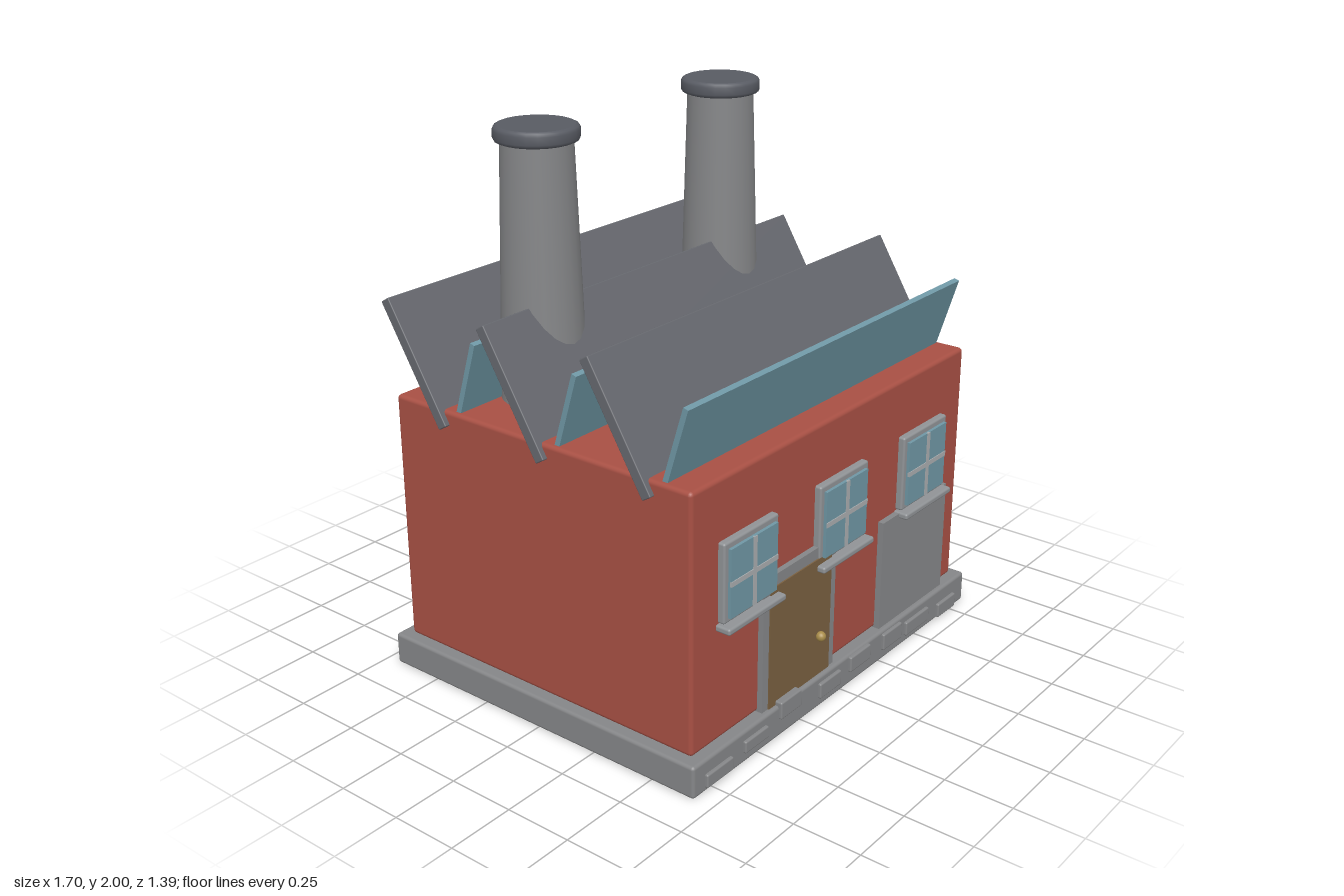
import * as THREE from 'three';
import { RoundedBoxGeometry } from 'three/addons/geometries/RoundedBoxGeometry.js';

const mat = (color) => new THREE.MeshStandardMaterial({ color });
const BRICK = mat(0xa85044), STONE = mat(0x858688), ROOF = mat(0x66686e), GLASS = mat(0x6f97a5);
const CAP = mat(0x585b63), TRIM = mat(0x909396), WOOD = mat(0x7a6040), BRASS = mat(0xa88c4a), BAR = mat(0xa9acae);

function add(parent, name, geometry, material, x, y, z) {
  const mesh = new THREE.Mesh(geometry, material);
  mesh.name = name;
  mesh.position.set(x, y, z);
  parent.add(mesh);
  return mesh;
}

// box given by its size and centre, with optional rounded edges
function box(parent, name, material, [w, h, d], [x, y, z], radius = 0) {
  const g = radius ? new RoundedBoxGeometry(w, h, d, 2, radius) : new THREE.BoxGeometry(w, h, d);
  return add(parent, name, g, material, x, y, z);
}

function group(parent, name) {
  const g = new THREE.Group();
  g.name = name;
  parent.add(g);
  return g;
}

export function createModel() {
  const model = new THREE.Group();
  model.name = 'factory';

  // plinth and brick block
  box(model, 'plinth', STONE, [1.7, 0.12, 1.38], [0, 0.06, -0.01], 0.012);
  box(model, 'brickBody', BRICK, [1.62, 0.935, 1.295], [0, 0.588, -0.008], 0.015);

  // loose stones set in the front of the plinth: x, y, width, height
  const stones = [
    [-0.72, 0.042, 0.14, 0.05], [-0.52, 0.063, 0.13, 0.045], [-0.325, 0.103, 0.12, 0.065],
    [-0.085, 0.066, 0.13, 0.058], [0.105, 0.083, 0.13, 0.06], [0.32, 0.075, 0.125, 0.065],
    [0.495, 0.06, 0.16, 0.055], [0.71, 0.036, 0.125, 0.056],
  ];
  for (const [x, y, w, h] of stones) box(model, 'plinthStone', STONE, [w, h, 0.04], [x, y, 0.672], 0.006);

  // sawtooth roof: a slab leaning back and a skylight leaning forward, three times
  for (let i = 0; i < 3; i++) {
    const z = -0.446 * i;
    const tooth = group(model, 'roofTooth');
    box(tooth, 'roofSlab', ROOF, [1.66, 0.475, 0.04], [0, 1.2, 0.355 + z], 0.004).rotation.x = -0.548;
    box(tooth, 'skylight', GLASS, [1.585, 0.3, 0.02], [0, 1.173, 0.56 + z]).rotation.x = 0.3;
  }

  // tapered chimneys with rounded caps
  const capProfile = [[0, 0], [0.13, 0], [0.14, 0.004], [0.145, 0.014], [0.145, 0.04], [0.14, 0.05], [0.13, 0.055], [0.13, 0.055], [0, 0.055]]
    .map(([r, y]) => new THREE.Vector2(r, y));
  for (const side of [-1, 1]) {
    const chimney = group(model, 'chimney');
    chimney.position.set(0.49 * side, 0, -0.255);
    add(chimney, 'chimneyStack', new THREE.CylinderGeometry(0.122, 0.152, 0.95, 24), STONE, 0, 1.475, 0);
    add(chimney, 'chimneyCap', new THREE.LatheGeometry(capProfile, 24), CAP, 0, 1.945, 0);
  }

  // front windows with crossed bars and a sill
  for (const x of [-0.53, 0, 0.525]) {
    const win = group(model, 'window');
    win.position.set(x, 0.697, 0);
    box(win, 'windowFrame', TRIM, [0.29, 0.285, 0.035], [0, 0, 0.647], 0.008);
    box(win, 'windowPane', GLASS, [0.25, 0.245, 0.02], [0, -0.002, 0.666]);
    box(win, 'windowBarUpright', BAR, [0.018, 0.245, 0.008], [0, -0.002, 0.675]);
    box(win, 'windowBarAcross', BAR, [0.25, 0.018, 0.008], [0, -0.002, 0.675]);
    box(win, 'windowSill', TRIM, [0.31, 0.024, 0.065], [0, -0.157, 0.662], 0.008);
  }

  // door with its frame and knob
  const door = group(model, 'door');
  door.position.x = -0.245;
  for (const side of [-1, 1]) box(door, 'doorJamb', STONE, [0.035, 0.46, 0.04], [0.193 * side, 0.35, 0.64]);
  box(door, 'doorLintel', STONE, [0.42, 0.042, 0.04], [0, 0.596, 0.64]);
  box(door, 'doorLeaf', WOOD, [0.355, 0.455, 0.03], [0, 0.348, 0.65]);
  add(door, 'doorKnob', new THREE.SphereGeometry(0.018, 16, 12), BRASS, 0.108, 0.277, 0.676);

  // loading gate
  box(model, 'loadingGate', STONE, [0.435, 0.43, 0.03], [0.483, 0.333, 0.647]);

  return model;
}
